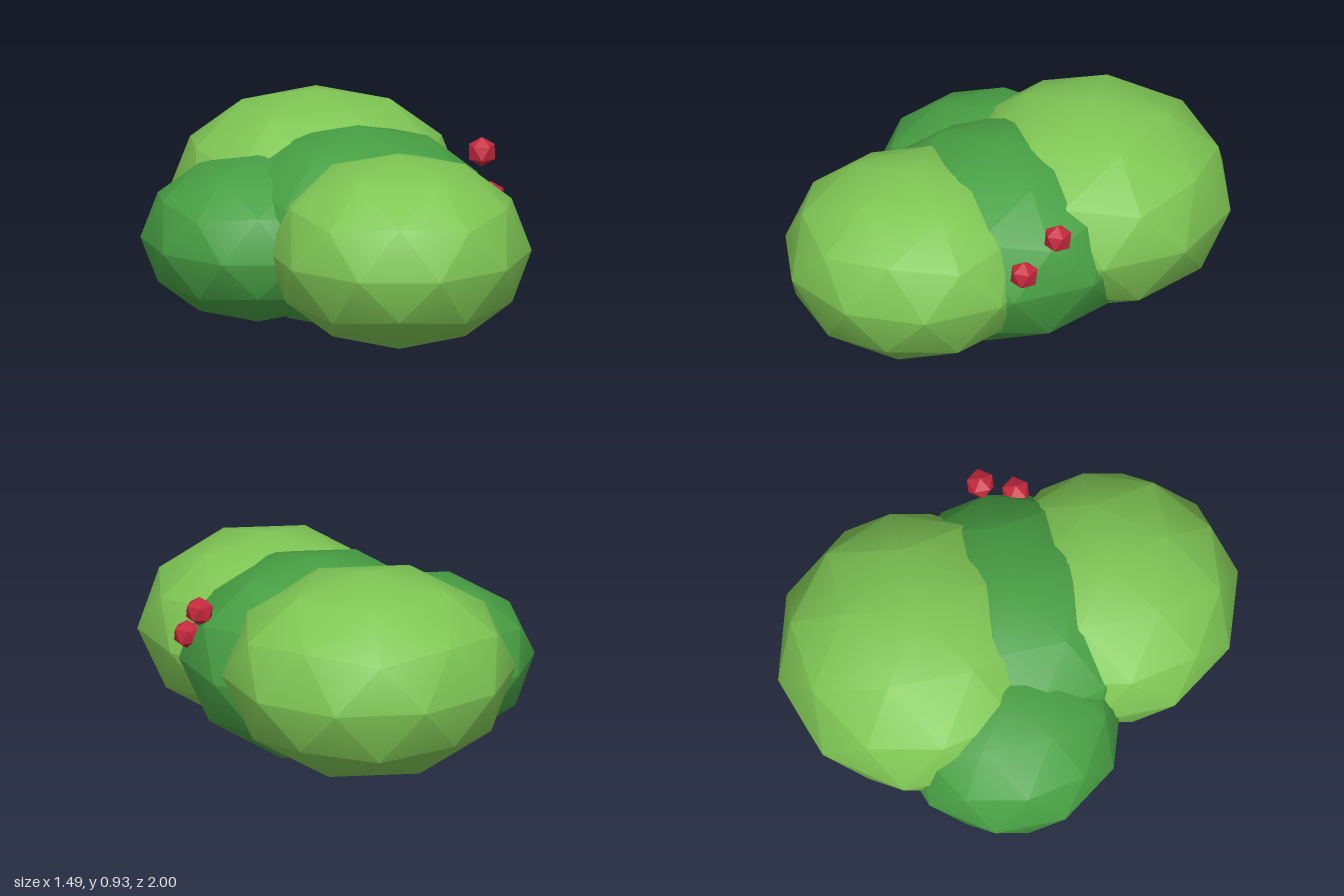
import * as THREE from 'three';
import { toCreasedNormals } from 'three/addons/utils/BufferGeometryUtils.js';

// Icosphere standing on one of its corners
function icosphere(detail) {
  return new THREE.IcosahedronGeometry(1, detail).rotateZ(-Math.atan(2 / (1 + Math.sqrt(5))));
}

export function createModel() {
  const bush = new THREE.Group();
  bush.name = 'bush';

  const lightLeaf = new THREE.MeshStandardMaterial({ color: 0x7fc654 });
  const darkLeaf = new THREE.MeshStandardMaterial({ color: 0x48a044 });
  const red = new THREE.MeshStandardMaterial({ color: 0xc4283c, flatShading: true });

  // Flattened foliage clumps: name, material, centre, radii
  const clumps = [
    ['middleFoliage', darkLeaf, [0.13, 0.438, 0.02], [0.59, 0.437, 0.59]],
    ['frontFoliage', lightLeaf, [0.17, 0.44, 0.44], [0.56, 0.412, 0.56]],
    ['backFoliage', lightLeaf, [0.08, 0.49, -0.4], [0.625, 0.442, 0.6]],
    ['rightFoliage', darkLeaf, [-0.28, 0.402, -0.09], [0.495, 0.354, 0.49]],
  ];
  for (const [name, material, centre, radii] of clumps) {
    const geometry = toCreasedNormals(icosphere(1).scale(...radii), Math.PI / 6);
    const clump = new THREE.Mesh(geometry, material);
    clump.name = name;
    clump.position.set(...centre);
    bush.add(clump);
  }

  // Berries on the left side
  const berries = [
    ['upperBerry', [0.685, 0.713, 0]],
    ['lowerBerry', [0.675, 0.56, 0.15]],
  ];
  for (const [name, centre] of berries) {
    const berry = new THREE.Mesh(icosphere(0).scale(0.064, 0.064, 0.064), red);
    berry.name = name;
    berry.position.set(...centre);
    bush.add(berry);
  }

  return bush;
}
